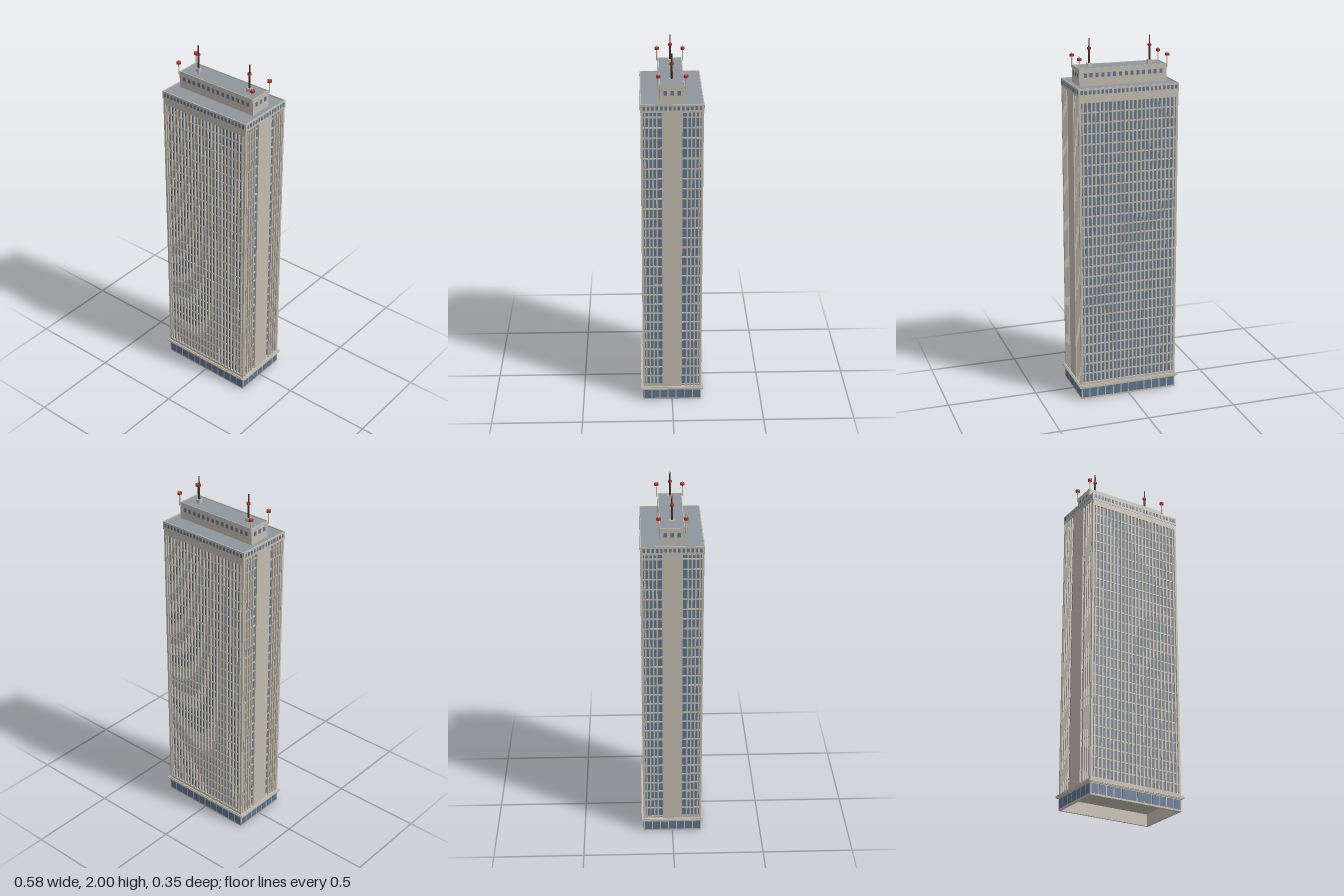
import * as THREE from 'three';
import { mergeGeometries } from 'three/addons/utils/BufferGeometryUtils.js';

const mat = (name, color) => new THREE.MeshStandardMaterial({ name, color });

// box given by its limits on x, y and z
function box(x0, x1, y0, y1, z0, z1) {
  return new THREE.BoxGeometry(x1 - x0, y1 - y0, z1 - z0)
    .translate((x0 + x1) / 2, (y0 + y1) / 2, (z0 + z1) / 2);
}
const block = (hx, hz, y0, y1) => box(-hx, hx, y0, y1, -hz, hz);

// four bars around a rectangle, t thick inwards
function ring(hx, hz, y0, y1, t) {
  return [
    box(-hx, hx, y0, y1, hz - t, hz), box(-hx, hx, y0, y1, -hz, -hz + t),
    box(hx - t, hx, y0, y1, -hz + t, hz - t), box(-hx, -hx + t, y0, y1, -hz + t, hz - t),
  ];
}

// thin panes in a row on all four walls of a block
function paneRows(hx, hz, spanX, spanZ, nx, nz, fill, y0, y1) {
  const out = [], d = 0.0015;
  for (const s of [-1, 1]) {
    for (let i = 0; i < nx; i++) {
      const w = 2 * spanX / nx, c = -spanX + w * (i + 0.5), h = w * fill / 2;
      out.push(box(c - h, c + h, y0, y1, s * hz - d, s * hz + d));
    }
    for (let i = 0; i < nz; i++) {
      const w = 2 * spanZ / nz, c = -spanZ + w * (i + 0.5), h = w * fill / 2;
      out.push(box(s * hx - d, s * hx + d, y0, y1, c - h, c + h));
    }
  }
  return out;
}

export function createModel() {
  const model = new THREE.Group();
  model.name = 'officeTower';
  const concrete = mat('concrete', 0xc4bcb0);
  const glass = mat('blueGlass', 0x5c7590);
  const roofing = mat('greyRoof', 0x8d979d);
  const red = mat('redBeacon', 0xb8322c);
  const dark = mat('darkMast', 0x4a2f2c);

  const add = (name, material, geos, parent = model) => {
    const mesh = new THREE.Mesh(mergeGeometries(geos), material);
    mesh.name = name;
    parent.add(mesh);
    return mesh;
  };

  // ground floor, hollow underneath
  add('groundFloorWalls', concrete, ring(0.277, 0.163, 0, 0.07, 0.01));
  add('groundFloorWindows', glass, paneRows(0.277, 0.163, 0.274, 0.16, 12, 7, 0.88, 0.01, 0.062));
  add('canopy', concrete, [block(0.285, 0.17, 0.066, 0.084), block(0.29, 0.174, 0.07, 0.079)]);

  // glazed shaft with floor bands
  const GX = 0.267, GZ = 0.153, FX = 0.277, FZ = 0.163;
  add('shaftGlass', glass, [block(GX, GZ, 0.08, 1.725)]);
  const bands = [];
  for (let i = 0; i <= 28; i++) {
    const y = 0.093 + i * 0.0571;
    bands.push(block(GX + 0.004, GZ + 0.004, y - 0.004, y + 0.004));
  }
  add('floorBands', concrete, bands);

  // vertical fins, corner piers and end-wall panels
  const fins = [], panels = [], spandrels = [];
  for (const s of [-1, 1]) {
    const z0 = s > 0 ? GZ - 0.002 : -FZ, z1 = s > 0 ? FZ : -GZ + 0.002;
    const x0 = s > 0 ? GX - 0.002 : -FX, x1 = s > 0 ? FX : -GX + 0.002;
    for (let i = 1; i < 24; i++) {
      const x = -FX + i * 2 * FX / 24;
      fins.push(box(x - 0.004, x + 0.004, 0.08, 1.725, z0, z1));
    }
    for (const t of [-1, 1]) {
      for (let i = 1; i < 5; i++) {
        const z = t * (0.06 + i * 0.0205);
        fins.push(box(x0, x1, 0.08, 1.725, z - 0.004, z + 0.004));
      }
      const px = s * (FX - 0.006), pz = t * (FZ - 0.006);
      fins.push(box(px - 0.006, px + 0.006, 0.08, 1.725, pz - 0.006, pz + 0.006));
    }
    panels.push(box(x0, x1, 0.08, 1.725, -0.054, 0.054));
    spandrels.push(box(-FX, FX, 1.688, 1.725, z0, z1), box(-FX, FX, 0.08, 0.098, z0, z1));
  }
  add('verticalFins', concrete, fins);
  add('endWallPanels', concrete, panels);
  add('spandrels', concrete, spandrels);

  // crown with small windows, parapet and main roof
  add('crown', concrete, [block(0.28, 0.165, 1.72, 1.756), ...ring(0.28, 0.165, 1.75, 1.765, 0.005)]);
  add('crownWindows', glass, paneRows(0.28, 0.165, 0.274, 0.158, 24, 14, 0.55, 1.734, 1.755));
  add('mainRoof', roofing, [block(0.2755, 0.1605, 1.754, 1.759)]);

  // penthouse
  add('penthouse', concrete, [block(0.245, 0.065, 1.757, 1.845), ...ring(0.245, 0.065, 1.84, 1.852, 0.004)]);
  add('penthouseWindows', glass, paneRows(0.245, 0.065, 0.228, 0.053, 14, 3, 0.5, 1.803, 1.826));
  add('penthouseRoof', roofing, [block(0.2415, 0.0615, 1.843, 1.848)]);

  const rod = (r0, r1, y0, y1, n = 12) =>
    new THREE.CylinderGeometry(r1, r0, y1 - y0, n).translate(0, (y0 + y1) / 2, 0);

  // two tall masts on plinths
  for (const s of [-1, 1]) {
    const mast = new THREE.Group();
    mast.name = s > 0 ? 'leftMast' : 'rightMast';
    mast.position.x = s * 0.17;
    model.add(mast);
    add('mastPlinth', concrete, [block(0.012, 0.012, 1.846, 1.868)], mast);
    add('mastPole', dark, [rod(0.0055, 0.005, 1.866, 1.95), rod(0.004, 0.003, 1.95, 2)], mast);
    add('mastBeacon', red, [rod(0.0105, 0.0105, 1.942, 1.953, 16)], mast);
  }

  // four short corner antennas
  for (const x of [-0.245, 0.245]) for (const z of [-0.07, 0.07]) {
    const antenna = new THREE.Group();
    antenna.name = 'cornerAntenna';
    antenna.position.set(x, 0, z);
    model.add(antenna);
    add('antennaPole', concrete, [rod(0.0035, 0.003, 1.835, 1.918, 8)], antenna);
    add('antennaBeacon', red, [rod(0.012, 0.012, 1.897, 1.91, 16)], antenna);
  }
  return model;
}
